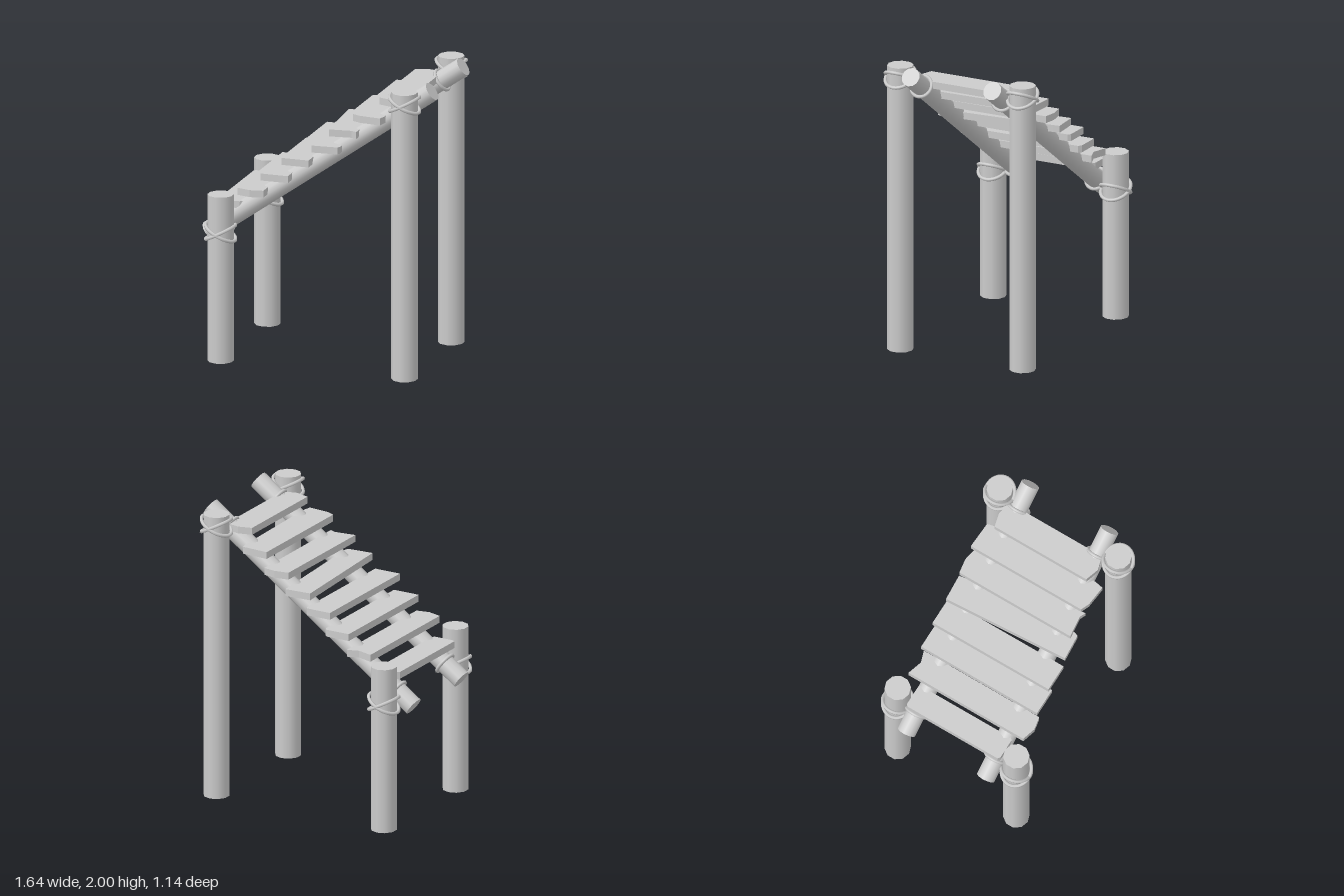
import * as THREE from 'three';

const material = new THREE.MeshStandardMaterial({ color: 0xcccccc });

export function createModel() {
  const model = new THREE.Group();
  const add = (name, geometry) => {
    const mesh = new THREE.Mesh(geometry, material);
    mesh.name = name;
    model.add(mesh);
    return mesh;
  };

  // Sloping rails run between these two points
  const low = new THREE.Vector2(-0.786, 0.838), high = new THREE.Vector2(0.782, 1.952);
  const slope = Math.atan2(high.y - low.y, high.x - low.x);
  const railY = x => low.y + (x - low.x) * Math.tan(slope);

  // Closed rope loop through a parametric curve
  const rope = (name, point) => {
    const pts = [];
    for (let i = 0; i < 12; i++) pts.push(point(i / 12 * Math.PI * 2));
    add(name, new THREE.TubeGeometry(new THREE.CatmullRomCurve3(pts, true), 32, 0.012, 6, true));
  };

  for (const side of [1, -1]) {
    const postZ = 0.46 * side, railZ = 0.307 * side;

    // Rail
    const rail = add('rail', new THREE.CylinderGeometry(0.065, 0.065, low.distanceTo(high), 12));
    rail.position.set((low.x + high.x) / 2, (low.y + high.y) / 2, railZ);
    rail.rotation.z = slope - Math.PI / 2;

    // Posts with their rope lashings
    for (const [name, x, height, ropeY] of [['shortPost', -0.648, 1.145, 0.885], ['tallPost', 0.643, 1.975, 1.895]]) {
      add(name, new THREE.CylinderGeometry(0.088, 0.088, height, 10)).position.set(x, height / 2, postZ);
      for (const tilt of [0.052, -0.052]) {
        rope('postRope', a => new THREE.Vector3(
          x + 0.1 * Math.cos(a), ropeY + tilt * Math.cos(a), postZ + 0.1 * Math.sin(a)));
      }
      const cx = x - 0.01;
      rope('railRope', a => new THREE.Vector3(
        cx - 0.074 * Math.cos(a) * Math.sin(slope),
        railY(cx) + 0.074 * Math.cos(a) * Math.cos(slope),
        railZ + 0.074 * Math.sin(a)));
    }
  }

  // Rough-cut treads: base height, then the outline as x, z pairs
  const thickness = 0.048;
  const treads = [
    [1.03, [-0.705, -0.35, -0.69, -0.362, -0.55, -0.362, -0.535, -0.35, -0.535, 0.35, -0.55, 0.362, -0.69, 0.362, -0.705, 0.35]],
    [1.148, [-0.535, -0.445, -0.43, -0.413, -0.35, -0.44, -0.35, 0.455, -0.44, 0.472, -0.535, 0.445]],
    [1.264, [-0.37, -0.448, -0.2, -0.448, -0.18, -0.43, -0.18, 0.45, -0.37, 0.45]],
    [1.386, [-0.225, -0.448, -0.05, -0.448, -0.035, -0.43, -0.035, 0.45, -0.225, 0.45]],
    [1.492, [-0.068, -0.44, 0.115, -0.452, 0.12, -0.41, 0.175, 0.41, 0.163, 0.437, -0.015, 0.45]],
    [1.606, [0.1, -0.44, 0.2, -0.455, 0.285, -0.44, 0.29, 0.42, 0.25, 0.402, 0.1, 0.42]],
    [1.724, [0.262, -0.45, 0.45, -0.44, 0.46, -0.4, 0.478, 0.38, 0.466, 0.445, 0.32, 0.43, 0.262, 0.405]],
    [1.838, [0.425, -0.366, 0.52, -0.39, 0.618, -0.37, 0.618, 0.35, 0.52, 0.375, 0.425, 0.345]],
  ];
  for (const [y, outline] of treads) {
    const pts = [];
    for (let i = 0; i < outline.length; i += 2) pts.push(new THREE.Vector2(outline[i], -outline[i + 1]));
    const geometry = new THREE.ExtrudeGeometry(new THREE.Shape(pts), { depth: thickness, bevelEnabled: false });
    geometry.rotateX(-Math.PI / 2);
    add('tread', geometry).position.y = y;
  }

  return model;
}
